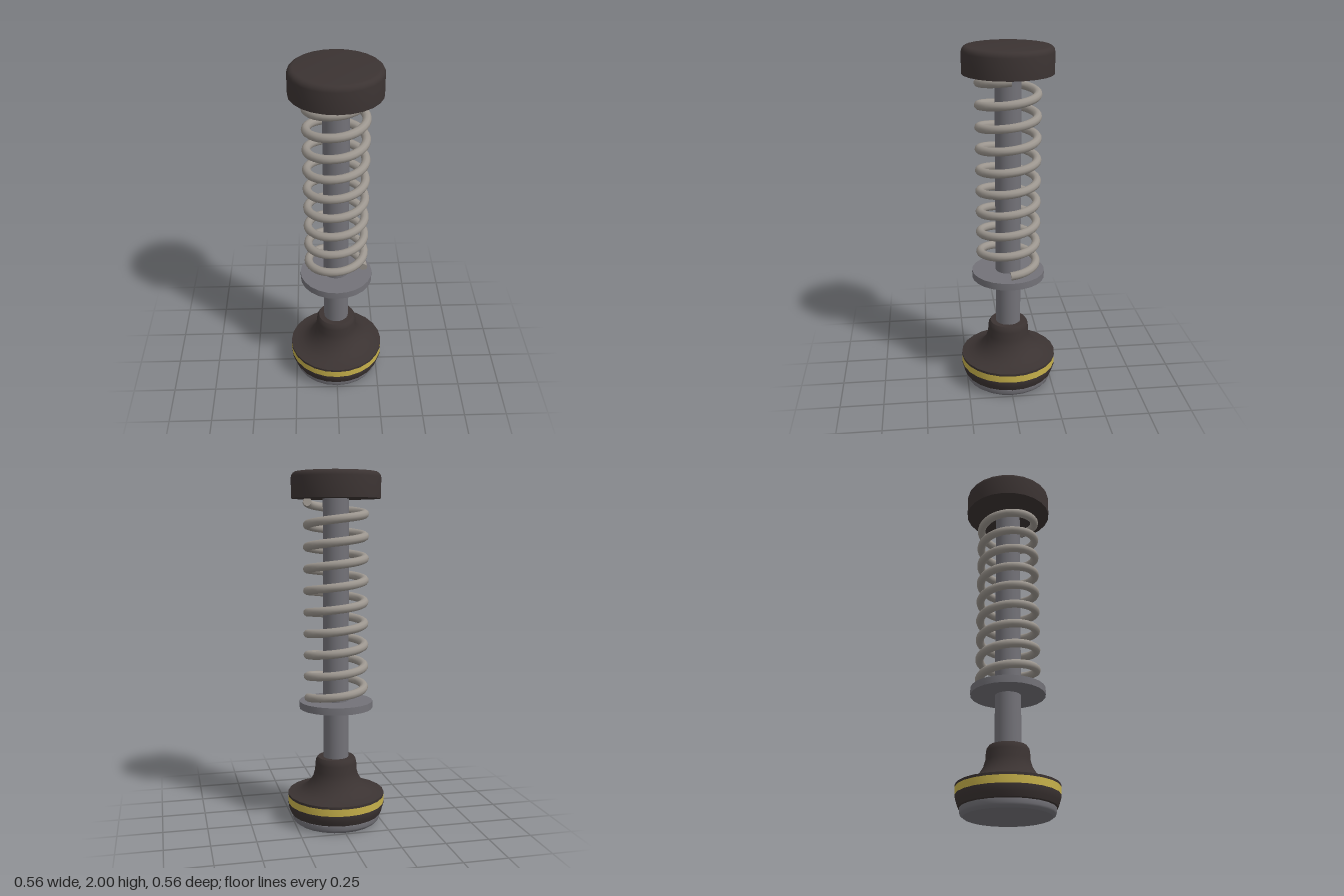
import * as THREE from 'three';
import { toCreasedNormals } from 'three/addons/utils/BufferGeometryUtils.js';

const SIDES = 24;

function material(name, color) {
  const m = new THREE.MeshStandardMaterial({ color });
  m.name = name;
  return m;
}

// Turned part from [radius, height] points, listed bottom to top
function turned(name, points, mat) {
  const profile = points.map(([r, y]) => new THREE.Vector2(r, y));
  const geometry = toCreasedNormals(new THREE.LatheGeometry(profile, SIDES), 0.65);
  const mesh = new THREE.Mesh(geometry, mat);
  mesh.name = name;
  return mesh;
}

class Helix extends THREE.Curve {
  constructor(radius, bottom, top, turns) {
    super();
    Object.assign(this, { radius, bottom, top, turns });
  }
  getPoint(t, target = new THREE.Vector3()) {
    const a = t * this.turns * Math.PI * 2;
    const y = this.bottom + (this.top - this.bottom) * t;
    return target.set(Math.cos(a) * this.radius, y, -Math.sin(a) * this.radius);
  }
}

export function createModel() {
  const model = new THREE.Group();
  model.name = 'springPlunger';

  const dark = material('dark brown rubber', 0x3b3332);
  const steel = material('grey steel', 0x737278);
  const wire = material('pale spring wire', 0x9c968f);
  const yellow = material('yellow band', 0xc6b04a);

  // Foot: steel pad, rubber body, yellow band and flared boot
  model.add(turned('footPad', [[0, 0], [0.235, 0], [0.25, 0.012], [0.255, 0.022], [0.255, 0.045], [0, 0.045]], steel));
  model.add(turned('footBody', [[0, 0.045], [0.262, 0.05], [0.273, 0.075], [0.28, 0.1], [0.28, 0.113]], dark));
  model.add(turned('footBand', [[0.28, 0.113], [0.28, 0.154]], yellow));
  model.add(turned('footBoot', [
    [0.28, 0.154], [0.28, 0.168], [0.245, 0.173], [0.21, 0.184], [0.178, 0.203], [0.153, 0.23],
    [0.133, 0.262], [0.122, 0.298], [0.119, 0.345], [0.115, 0.365], [0.105, 0.38], [0, 0.38],
  ], dark));

  // Rod and the collar that carries the spring
  model.add(turned('rod', [[0.073, 0.37], [0.073, 1.87]], steel));
  model.add(turned('collar', [[0, 0.672], [0.21, 0.672], [0.21, 0.713], [0, 0.713]], steel));

  // Coil spring with closed ends
  const spring = new THREE.Group();
  spring.name = 'spring';
  const helix = new Helix(0.161, 0.737, 1.837, 9);
  const wireRadius = 0.024;
  const coil = new THREE.Mesh(new THREE.TubeGeometry(helix, 288, wireRadius, 10), wire);
  coil.name = 'coil';
  spring.add(coil);
  for (const t of [0, 1]) {
    const end = new THREE.Mesh(new THREE.CircleGeometry(wireRadius, 10), wire);
    const outward = helix.getTangent(t).multiplyScalar(t ? 1 : -1);
    end.position.copy(helix.getPoint(t));
    end.quaternion.setFromUnitVectors(new THREE.Vector3(0, 0, 1), outward);
    end.name = t ? 'topEnd' : 'bottomEnd';
    spring.add(end);
  }
  model.add(spring);

  // Push button on top
  model.add(turned('button', [
    [0, 1.855], [0.25, 1.855], [0.25, 1.97], [0.2475, 1.982], [0.241, 1.991], [0.232, 1.998], [0.22, 2], [0, 2],
  ], dark));

  return model;
}
